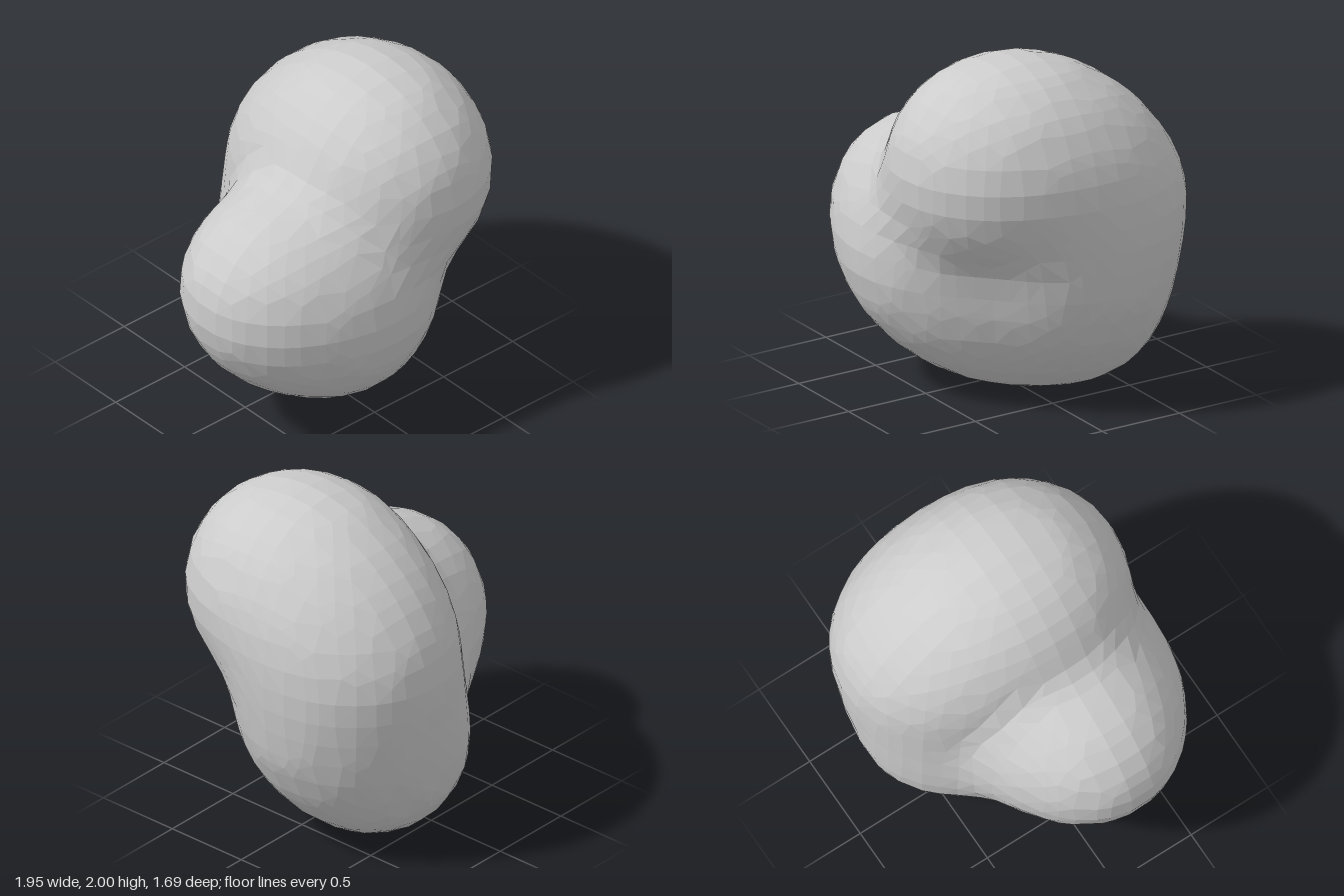
import * as THREE from 'three';

// Rounded lobes of the blob: x, y, z, radius
const LOBES = [
  [0.285, 1.38, 0.285, 0.555], // upper front
  [0.33, 1.365, 0.0, 0.58],    // crown
  [0.37, 1.1, -0.28, 0.57],    // back
  [0.23, 0.55, -0.28, 0.53],   // lower back
  [0.05, 0.55, 0.1, 0.49],     // underside
  [0.42, 0.76, -0.14, 0.45],   // flank
  [-0.3, 0.74, 0.08, 0.42],    // bridge under the side bulge
  [-0.15, 0.8, 0.285, 0.56],   // lower front
  [-0.5, 0.93, 0.2, 0.465],    // side bulge
];
const BLEND = 0.3;
const STEP = 0.14;
const N = 18;
const ORIGIN = [-1.19, -0.19, -1.19];

// Signed distance to the smoothly merged lobes
function field(x, y, z) {
  let d = 10;
  for (const [cx, cy, cz, r] of LOBES) {
    const e = Math.hypot(x - cx, y - cy, z - cz) - r;
    const h = Math.max(BLEND - Math.abs(d - e), 0) / BLEND;
    d = Math.min(d, e) - h * h * BLEND * 0.25;
  }
  return d;
}

// Pull a point onto the zero surface along the gradient
function project(p) {
  const e = 0.002;
  for (let n = 0; n < 3; n++) {
    const d = field(p.x, p.y, p.z);
    const g = new THREE.Vector3(
      field(p.x + e, p.y, p.z) - field(p.x - e, p.y, p.z),
      field(p.x, p.y + e, p.z) - field(p.x, p.y - e, p.z),
      field(p.x, p.y, p.z + e) - field(p.x, p.y, p.z - e)
    ).divideScalar(2 * e);
    p.addScaledVector(g, -d / Math.max(g.lengthSq(), 0.2));
  }
  return p;
}

// Coarse grid surface: one vertex per crossed cell, one quad per crossed edge
function blobGeometry() {
  const at = (c) => c.map((v, i) => ORIGIN[i] + v * STEP);
  const value = (c) => field(...at(c));
  const points = [], indices = [], cells = new Map();

  function cellVertex(c) {
    const key = c.join();
    if (cells.has(key)) return cells.get(key);
    const sum = new THREE.Vector3();
    let count = 0;
    for (let a = 0; a < 3; a++) {
      for (let s = 0; s < 4; s++) {
        const p = [...c];
        p[(a + 1) % 3] += s & 1;
        p[(a + 2) % 3] += s >> 1;
        const q = [...p];
        q[a] += 1;
        const f = value(p), g = value(q);
        if ((f < 0) === (g < 0)) continue;
        p[a] += f / (f - g);
        sum.add(new THREE.Vector3(...at(p)));
        count++;
      }
    }
    cells.set(key, points.length);
    points.push(project(sum.divideScalar(count)));
    return points.length - 1;
  }

  // How far the middle of a diagonal strays from the surface
  function stray(a, b) {
    const m = points[a].clone().lerp(points[b], 0.5);
    return Math.abs(field(m.x, m.y, m.z));
  }

  for (let i = 1; i < N - 1; i++) for (let j = 1; j < N - 1; j++) for (let k = 1; k < N - 1; k++) {
    const p = [i, j, k];
    const inside = value(p) < 0;
    for (let a = 0; a < 3; a++) {
      const q = [...p];
      q[a] += 1;
      if ((value(q) < 0) === inside) continue;
      const quad = [[1, 1], [0, 1], [0, 0], [1, 0]].map(([du, dv]) => {
        const c = [...p];
        c[(a + 1) % 3] -= du;
        c[(a + 2) % 3] -= dv;
        return cellVertex(c);
      });
      if (!inside) quad.reverse();
      const [A, B, C, D] = quad;
      if (stray(A, C) < stray(B, D)) indices.push(A, B, C, A, C, D);
      else indices.push(A, B, D, B, C, D);
    }
  }

  const geometry = new THREE.BufferGeometry().setFromPoints(points);
  geometry.setIndex(indices);
  geometry.computeVertexNormals();
  return geometry;
}

export function createModel() {
  const group = new THREE.Group();
  group.name = 'blob';
  const body = new THREE.Mesh(
    blobGeometry(),
    new THREE.MeshStandardMaterial({ color: 0xcccccc, flatShading: true })
  );
  body.name = 'lobedBody';
  group.add(body);
  return group;
}
